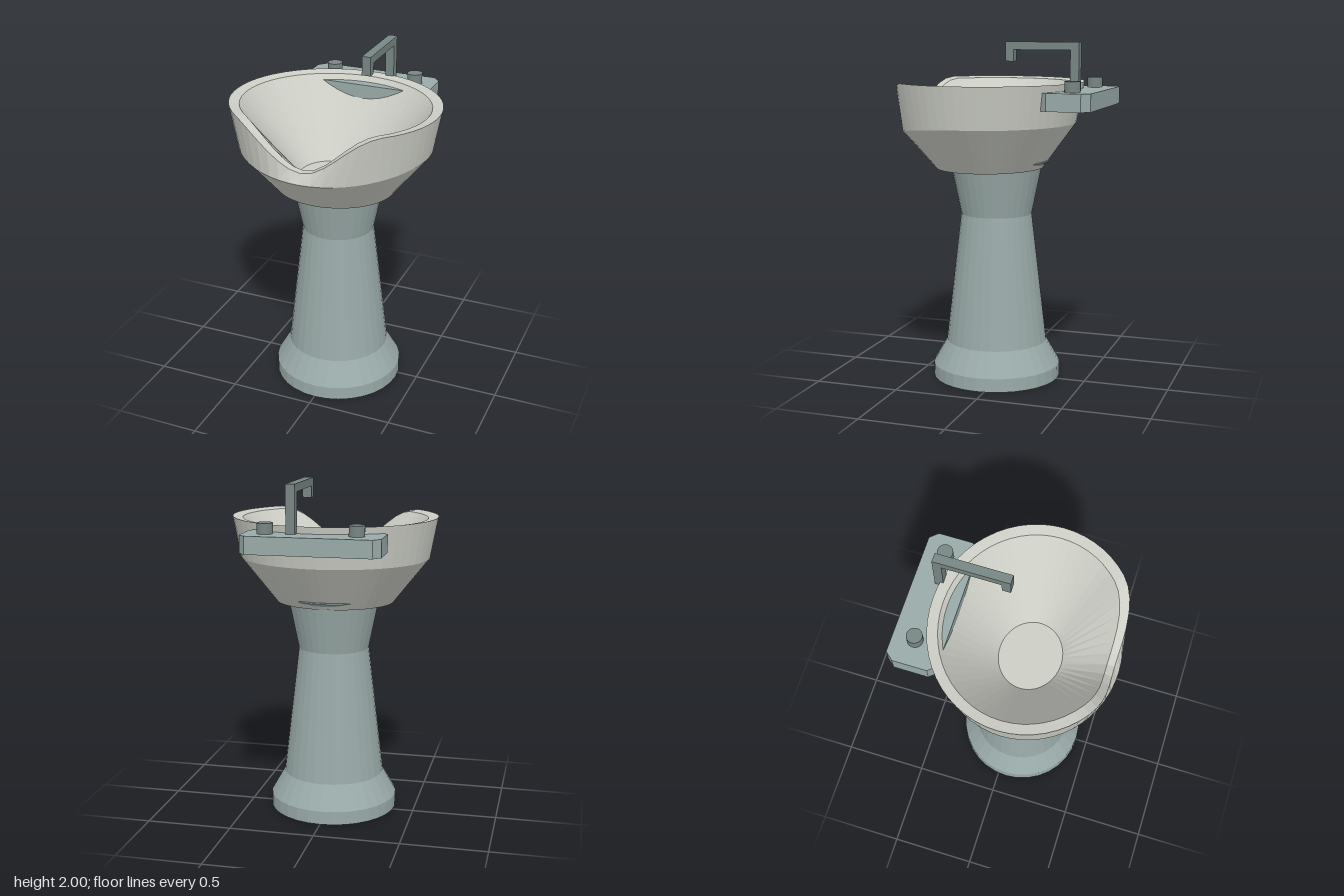
import * as THREE from 'three';

const mat = (color) => new THREE.MeshStandardMaterial({ color, flatShading: true, side: THREE.DoubleSide });

// Closed skin over a list of rings; each ring is a function of angle (0 = front)
function skinRings(rings, seg) {
  const pos = [], index = [];
  rings.forEach((ring) => {
    for (let i = 0; i < seg; i++) pos.push(...ring((i / seg) * Math.PI * 2));
  });
  for (let r = 0; r < rings.length - 1; r++) {
    for (let i = 0; i < seg; i++) {
      const j = (i + 1) % seg;
      const a = r * seg + i, b = r * seg + j, c = a + seg, d = b + seg;
      index.push(a, b, d, a, d, c);
    }
  }
  const g = new THREE.BufferGeometry();
  g.setAttribute('position', new THREE.Float32BufferAttribute(pos, 3));
  g.setIndex(index);
  const flat = g.toNonIndexed();
  flat.computeVertexNormals();
  return flat;
}

// Weight of the scooped front lip: 1 at the front centre, 0 beyond its ends
function scoop(a) {
  if (Math.cos(a) <= 0) return 0;
  const t = Math.min(1, Math.abs(Math.sin(a)) / 0.72);
  return 1 - t * t * (3 - 2 * t);
}

// Elliptical ring about z = 0.09, lowered by drop and pulled back by pull at the lip
const ring = (rx, rz, y, drop = 0, pull = 0, weight = scoop) => (a) => [
  rx * Math.sin(a),
  y - drop * weight(a),
  0.09 + rz * Math.cos(a) - pull * weight(a),
];

export function createModel() {
  const model = new THREE.Group();
  const ceramic = mat(0xcccec6), stone = mat(0x99aaa8), metal = mat(0x788684);
  const add = (name, geometry, material, x = 0, y = 0, z = 0) => {
    const mesh = new THREE.Mesh(geometry, material);
    mesh.name = name;
    mesh.position.set(x, y, z);
    model.add(mesh);
    return mesh;
  };

  // Pedestal with a stepped foot, a waist and a small flange under the bowl
  const profile = [
    [0, 0], [0.38, 0], [0.38, 0.08], [0.3, 0.22], [0.21, 0.99],
    [0.267, 1.27], [0.315, 1.305], [0.315, 1.312], [0, 1.312],
  ].map(([x, y]) => new THREE.Vector2(x, y));
  add('pedestal', new THREE.LatheGeometry(profile, 32), stone, 0, 0, 0.05);

  // Bowl: outside from the bottom up, over the rim, down the inside to the floor
  const soft = (a) => Math.max(0, Math.cos(a)) ** 2;
  add('bowl', skinRings([
    ring(0, 0, 1.265),
    ring(0.35, 0.313, 1.265),
    ring(0.56, 0.505, 1.53, 0.055, 0, soft),
    ring(0.605, 0.55, 1.77, 0.24, 0.075),
    ring(0.545, 0.492, 1.76, 0.23, 0.06),
    ring(0.205, 0.18, 1.33),
    ring(0, 0, 1.33),
  ], 56), ceramic);

  // Tap deck: chamfered slab behind the bowl
  const deck = new THREE.Shape([
    [-0.35, 0.32], [0.35, 0.32], [0.39, 0.365], [0.39, 0.56],
    [0.35, 0.605], [-0.35, 0.605], [-0.39, 0.56], [-0.39, 0.365],
  ].map(([x, y]) => new THREE.Vector2(x, y)));
  const deckGeo = new THREE.ExtrudeGeometry(deck, { depth: 0.1, bevelEnabled: false });
  deckGeo.rotateX(-Math.PI / 2);
  add('tapDeck', deckGeo, stone, 0, 1.63, 0);

  // Tap knobs
  for (const [name, x] of [['rightKnob', -0.243], ['leftKnob', 0.267]]) {
    add(name, new THREE.CylinderGeometry(0.044, 0.044, 0.08, 24), metal, x, 1.75, -0.48);
  }

  // Spout: post, arm and short nozzle as one angular hook
  const hook = new THREE.Shape([
    [0.485, 1.7], [0.485, 2], [0.055, 2], [0.055, 1.89],
    [0.105, 1.89], [0.105, 1.955], [0.435, 1.955], [0.435, 1.7],
  ].map(([x, y]) => new THREE.Vector2(x, y)));
  const hookGeo = new THREE.ExtrudeGeometry(hook, { depth: 0.052, bevelEnabled: false });
  hookGeo.rotateY(Math.PI / 2);
  add('spout', hookGeo, metal, 0.098, 0, 0);

  return model;
}
